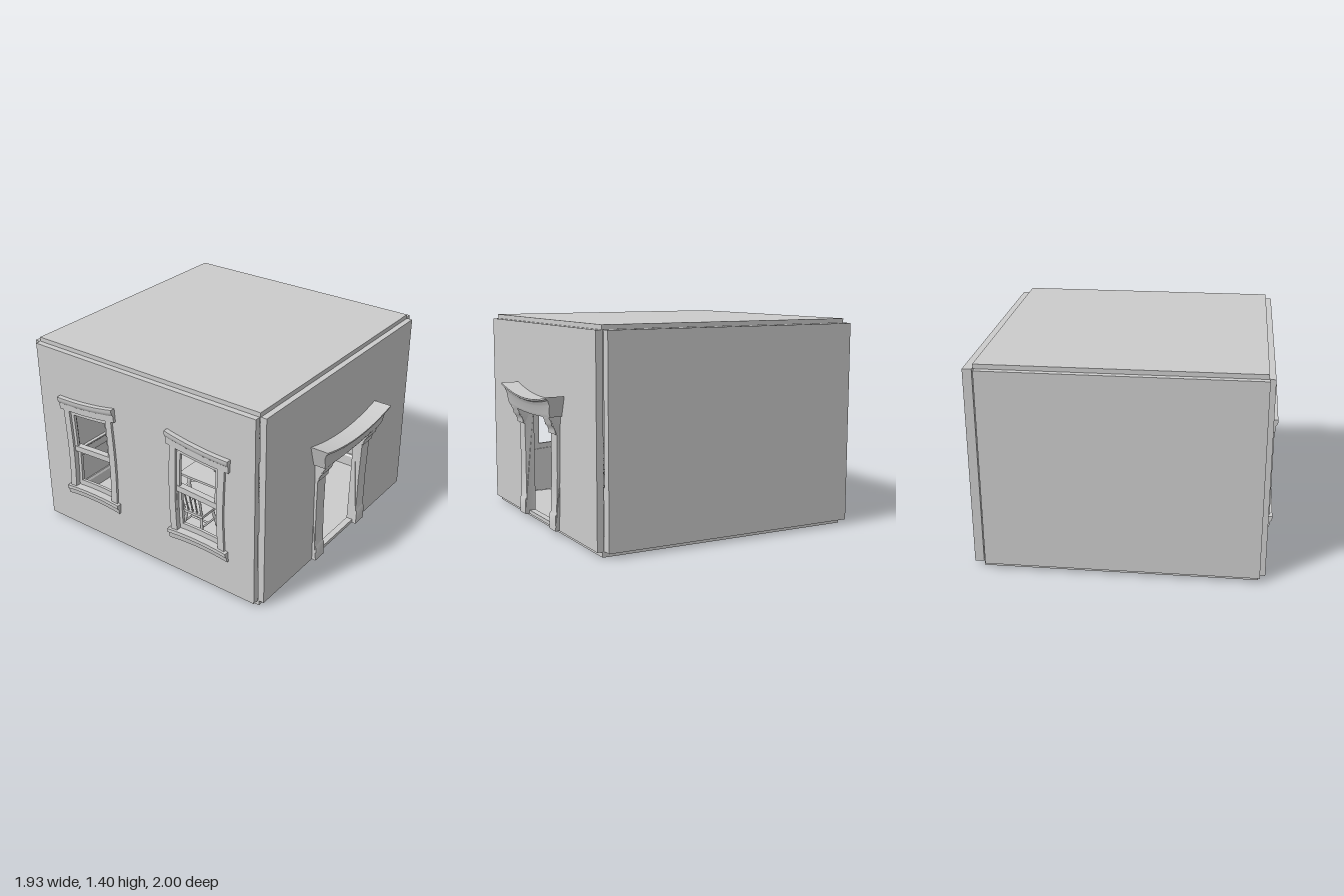
import * as THREE from 'three';
import { toCreasedNormals } from 'three/addons/utils/BufferGeometryUtils.js';

const grey = new THREE.MeshStandardMaterial({ color: 0xcccccc, side: THREE.DoubleSide });

function add(parent, name, geometry) {
  const mesh = new THREE.Mesh(geometry, grey);
  mesh.name = name;
  parent.add(mesh);
  return mesh;
}

// Box given by its limits on each axis
function box(parent, name, [x0, x1], [y0, y1], [z0, z1], seg = 1) {
  const g = new THREE.BoxGeometry(x1 - x0, y1 - y0, z1 - z0, seg, seg, 1);
  g.translate((x0 + x1) / 2, (y0 + y1) / 2, (z0 + z1) / 2);
  return add(parent, name, g);
}

// Moves every vertex by a rule, then renews the normals
function warp(geometry, rule) {
  const p = geometry.attributes.position;
  const v = new THREE.Vector3();
  for (let i = 0; i < p.count; i++) {
    rule(v.fromBufferAttribute(p, i));
    p.setXYZ(i, v.x, v.y, v.z);
  }
  return toCreasedNormals(geometry, 0.6);
}

// Moulding: a (z, y) profile run along x, centred on x = 0
function moulding(profile, length, steps = 1) {
  const shape = new THREE.Shape(profile.map(([z, y]) => new THREE.Vector2(z, y)));
  const g = new THREE.ExtrudeGeometry(shape, { depth: length, steps, bevelEnabled: false });
  return g.rotateY(-Math.PI / 2).translate(length / 2, 0, 0);
}

// Wall slab in the xy plane with rectangular holes [x0, x1, y0, y1]
function wall(x0, x1, y0, y1, depth, holes) {
  const rect = (S, a, b, c, d) => new S([[a, c], [b, c], [b, d], [a, d]].map(q => new THREE.Vector2(...q)));
  const shape = rect(THREE.Shape, x0, x1, y0, y1);
  shape.holes = holes.map(h => rect(THREE.Path, ...h));
  return new THREE.ExtrudeGeometry(shape, { depth, bevelEnabled: false });
}

function rod(parent, name, points, radius) {
  const curve = new THREE.CatmullRomCurve3(points.map(p => new THREE.Vector3(...p)));
  return add(parent, name, new THREE.TubeGeometry(curve, 12, radius, 8));
}

function lathe(parent, name, profile) {
  return add(parent, name, new THREE.LatheGeometry(profile.map(p => new THREE.Vector2(...p)), 24));
}

function createDoorway() {
  const door = new THREE.Group();
  door.name = 'doorway';
  // Sagging cornice whose ends rise and flare
  const cornice = moulding([[0.87, 0.78], [0.955, 0.78], [0.965, 0.80], [0.97, 0.845], [0.98, 0.86],
    [0.985, 0.872], [1.0, 0.88], [1.0, 0.89], [0.87, 0.89]], 2, 24);
  add(door, 'doorCornice', warp(cornice, v => {
    const t = (v.y - 0.78) / 0.11, s = v.x;
    v.x = 0.02 + s * (0.365 + 0.045 * t);
    v.y += s * s * (0.018 + 0.034 * t) - s * 0.008 * t;
  }));
  // Leaning pilasters with curved capitals and plinths
  const profile = [[0.83, 0.035], [0.905, 0.035], [0.905, 0.135], [0.896, 0.15], [0.892, 0.4], [0.896, 0.675],
    [0.91, 0.68], [0.912, 0.70], [0.918, 0.72], [0.935, 0.74], [0.94, 0.765], [0.955, 0.79], [0.955, 0.81], [0.83, 0.81]];
  for (const side of [-1, 1]) {
    const post = warp(moulding(profile, 0.1, 1), v => {
      const t = (v.y - 0.035) / 0.77;
      const flare = v.y > 0.677 ? 1.14 : v.y < 0.14 ? 1.04 : 0.98;
      v.x = v.x * flare + (side < 0 ? -0.265 - 0.008 * t : 0.272 + 0.036 * t);
    });
    add(door, side < 0 ? 'rightPilaster' : 'leftPilaster', post);
  }
  return door;
}

// Window facing +z with its wall face at z = 0; tilt raises one end of the head
function createWindow(tilt) {
  const win = new THREE.Group();
  win.name = 'window';
  const bend = v => {
    const t = (v.y - 0.3) / 0.77;
    v.y += t * (tilt * v.x * 0.11 + v.x * v.x * 0.25) - (1 - t) * v.x * v.x * 0.3;
    v.x += 0.012 * tilt * Math.sin(t * 4);
  };
  const piece = (name, geo) => add(win, name, warp(geo, bend));
  const bar = (name, x, y, z) => {
    const g = new THREE.BoxGeometry(x[1] - x[0], y[1] - y[0], z[1] - z[0], 8, 8, 1);
    piece(name, g.translate((x[0] + x[1]) / 2, (y[0] + y[1]) / 2, (z[0] + z[1]) / 2));
  };
  piece('windowHead', moulding([[-0.04, 0.965], [0.018, 0.965], [0.02, 1.01], [0.028, 1.02], [0.034, 1.035],
    [0.034, 1.055], [-0.01, 1.055]], 0.49, 12));
  piece('windowSill', moulding([[-0.05, 0.30], [0.014, 0.30], [0.02, 0.335], [0.033, 0.345], [0.033, 0.37],
    [-0.05, 0.37]], 0.47, 12));
  for (const s of [-1, 1]) {
    const span = (a, b) => s < 0 ? [-b, -a] : [a, b];
    bar('windowCasing', span(0.165, 0.215), [0.36, 0.98], [-0.045, 0.016]);
    bar('upperSashStile', span(0.14, 0.17), [0.66, 0.97], [-0.02, 0]);
    bar('lowerSashStile', span(0.14, 0.17), [0.37, 0.69], [-0.04, -0.02]);
  }
  bar('upperSashTopRail', [-0.16, 0.16], [0.935, 0.97], [-0.02, 0]);
  bar('meetingRail', [-0.16, 0.16], [0.655, 0.695], [-0.04, 0.004]);
  bar('lowerSashBottomRail', [-0.16, 0.16], [0.365, 0.41], [-0.04, -0.02]);
  return win;
}

function createTable() {
  const table = new THREE.Group();
  table.name = 'table';
  box(table, 'tableTop', [-0.25, 0.25], [0.325, 0.342], [-0.25, 0.25]);
  // Aprons with an arched lower edge
  for (let i = 0; i < 4; i++) {
    const s = new THREE.Shape();
    s.moveTo(-0.2, 0.325);
    s.lineTo(-0.2, 0.25);
    s.bezierCurveTo(-0.12, 0.31, -0.06, 0.275, 0, 0.295);
    s.bezierCurveTo(0.06, 0.275, 0.12, 0.31, 0.2, 0.25);
    s.lineTo(0.2, 0.325);
    const g = new THREE.ExtrudeGeometry(s, { depth: 0.015, bevelEnabled: false });
    add(table, 'tableApron', g.translate(0, 0, 0.185).rotateY(i * Math.PI / 2));
  }
  // Cabriole legs: a tapered tube following an S curve outwards
  for (const sx of [-1, 1]) for (const sz of [-1, 1]) {
    const path = [[0.18, 0.325], [0.2, 0.26], [0.19, 0.17], [0.165, 0.07], [0.175, 0.02], [0.195, 0.006]];
    rod(table, 'tableLeg', path.map(([r, y]) => [sx * r, y, sz * r]), 0.016);
  }
  return table;
}

// Spindle-back chair facing -x
function createChair() {
  const chair = new THREE.Group();
  chair.name = 'chair';
  box(chair, 'chairSeat', [-0.09, 0.09], [0.165, 0.185], [-0.095, 0.095]);
  for (const sz of [-1, 1]) {
    for (const sx of [-1, 1]) {
      rod(chair, 'chairLeg', [[sx * 0.06, 0.17, sz * 0.06], [sx * 0.075, 0.08, sz * 0.075], [sx * 0.092, 0, sz * 0.09]], 0.011);
    }
    rod(chair, 'sideStretcher', [[-0.075, 0.075, sz * 0.075], [0, 0.075, sz * 0.075], [0.075, 0.075, sz * 0.075]], 0.007);
  }
  rod(chair, 'crossStretcher', [[0, 0.075, -0.075], [0, 0.075, 0.075]], 0.007);
  for (let i = -2; i <= 2; i++) {
    const z = i * 0.038;
    rod(chair, 'backSpindle', [[0.075, 0.18, z], [0.095, 0.27, z * 1.08], [0.12, 0.39, z * 1.15]], Math.abs(i) === 2 ? 0.009 : 0.006);
  }
  rod(chair, 'backRail', [[0.112, 0.385, -0.1], [0.125, 0.4, 0], [0.112, 0.385, 0.1]], 0.016);
  return chair;
}

function createTeaSet() {
  const set = new THREE.Group();
  set.name = 'teaSet';
  lathe(set, 'pot', [[0, 0], [0.033, 0], [0.034, 0.012], [0.029, 0.05], [0.022, 0.09], [0.024, 0.095],
    [0.014, 0.107], [0.005, 0.11], [0.008, 0.12], [0, 0.125]]);
  rod(set, 'potSpout', [[-0.028, 0.035, 0], [-0.045, 0.06, 0], [-0.05, 0.09, 0]], 0.006);
  rod(set, 'potHandle', [[0.022, 0.09, 0], [0.045, 0.085, 0], [0.044, 0.045, 0], [0.03, 0.03, 0]], 0.004);
  for (const [x, z] of [[-0.05, 0.05], [-0.1, -0.06], [0.08, -0.08]]) {
    lathe(set, 'cup', [[0, 0], [0.016, 0], [0.014, 0.01], [0.022, 0.03], [0.026, 0.05], [0.023, 0.05], [0.012, 0.012], [0, 0.01]])
      .position.set(x, 0, z);
  }
  return set;
}

export function createModel() {
  const room = new THREE.Group();
  room.name = 'room';

  // Slabs of the shell
  box(room, 'floor', [-0.89, 0.905], [0, 0.035], [-0.96, 0.84]);
  box(room, 'roof', [-0.895, 0.9], [1.375, 1.405], [-0.96, 0.835]);
  box(room, 'backWall', [-0.9, 0.89], [0.035, 1.375], [-1, -0.96]);
  box(room, 'leftWall', [0.905, 0.965], [0.035, 1.375], [-0.97, 0.825]);
  add(room, 'frontWall', wall(-0.89, 0.905, 0.035, 1.375, 0.045, [[-0.24, 0.27, 0.06, 0.8]])).position.z = 0.83;
  const openings = [-0.52, 0.395].map(z => [z - 0.175, z + 0.175, 0.35, 0.99]);
  const sideWall = add(room, 'rightWall', wall(-0.96, 0.83, 0.035, 1.375, 0.04, openings));
  sideWall.rotation.y = -Math.PI / 2;
  sideWall.position.x = -0.895;

  // Doorway and the two crooked windows
  room.add(createDoorway());
  [[-0.52, 1], [0.395, -1]].forEach(([z, tilt]) => {
    const win = createWindow(tilt);
    win.rotation.y = -Math.PI / 2;
    win.position.set(-0.935, 0, z);
    room.add(win);
  });

  // Skirting and dado rail inside
  const skirting = [[0, 0.035], [0.02, 0.035], [0.02, 0.115], [0.01, 0.13], [0, 0.13]];
  const dado = [[0, 0.35], [0.01, 0.35], [0.014, 0.37], [0.014, 0.41], [0.025, 0.42], [0.025, 0.43], [0, 0.43]];
  for (const [name, profile] of [['skirting', skirting], ['dadoRail', dado]]) {
    add(room, name, moulding(profile, 1.79)).position.z = -0.96;
    const side = add(room, name, moulding(profile, 1.78));
    side.rotation.y = -Math.PI / 2;
    side.position.set(0.905, 0, -0.065);
  }

  // Furniture
  const place = (item, x, y, z, turn = 0) => {
    item.position.set(x, y, z);
    item.rotation.y = turn;
    room.add(item);
  };
  place(createTable(), -0.16, 0.035, 0.05);
  place(createChair(), 0.16, 0.035, 0.06);
  place(createChair(), -0.48, 0.035, 0.04, Math.PI);
  place(createTeaSet(), -0.135, 0.377, 0.06);
  return room;
}
